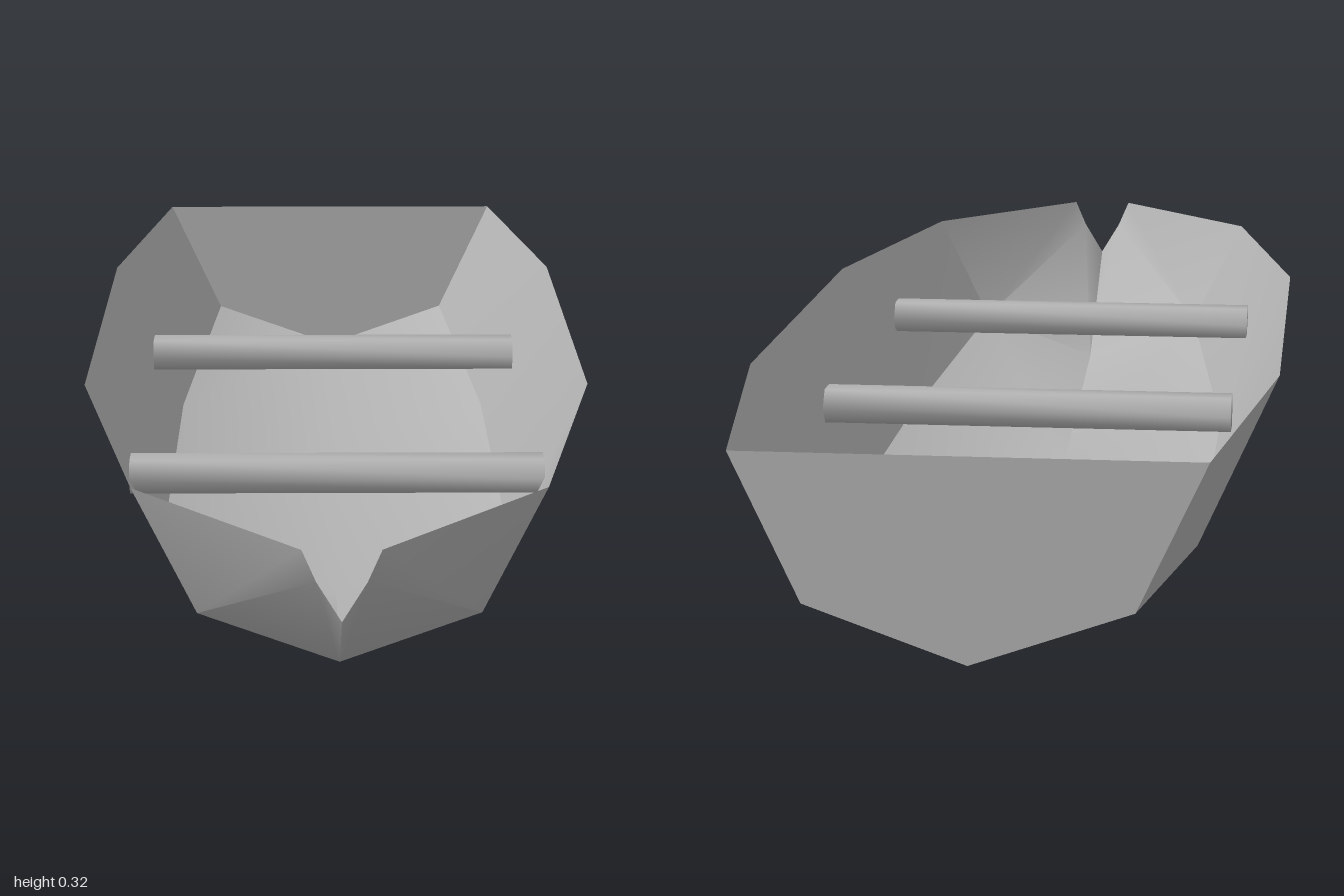
import * as THREE from 'three';
import { toCreasedNormals, mergeVertices } from 'three/addons/utils/BufferGeometryUtils.js';

// z, rim half-width, chine half-width, chine height, keel height
const STATIONS = [
  [-1, 0.30, 0.21, 0.13, 0.055],
  [-0.5, 0.373, 0.262, 0.077, 0],
  [0.25, 0.373, 0.262, 0.077, 0],
  [0.75, 0.275, 0.19, 0.15, 0.08],
  [1, 0.05, 0.032, 0.283, 0.23],
];
const RIM_Y = 0.325;

function hullGeometry() {
  const pos = [], idx = [];
  for (const [z, rim, chine, chineY, keelY] of STATIONS) {
    pos.push(rim, RIM_Y, z, chine, chineY, z, 0, keelY, z, -chine, chineY, z, -rim, RIM_Y, z);
  }
  // planking, with the quad diagonals mirrored about the keel
  for (let s = 0; s < STATIONS.length - 1; s++) {
    for (let i = 0; i < 4; i++) {
      const a = s * 5 + i, b = a + 1, c = a + 5, d = a + 6;
      if (i < 2) idx.push(a, c, b, b, c, d);
      else idx.push(a, d, b, a, c, d);
    }
  }
  // flat transom closing the stern; the bow stays open as a notch
  idx.push(0, 1, 2, 0, 2, 4, 2, 3, 4);
  const geo = new THREE.BufferGeometry();
  geo.setAttribute('position', new THREE.Float32BufferAttribute(pos, 3));
  geo.setIndex(idx);
  return toCreasedNormals(geo, THREE.MathUtils.degToRad(40));
}

function seatGeometry() {
  // six-sided bar across the boat, flat on top and bottom, softly shaded
  let geo = new THREE.CylinderGeometry(0.036, 0.036, 0.6, 6);
  geo.rotateZ(Math.PI / 2);
  geo.scale(1, 0.05 / (0.072 * Math.sin(Math.PI / 3)), 1);
  geo.deleteAttribute('normal');
  geo.deleteAttribute('uv');
  geo = mergeVertices(geo);
  geo.computeVertexNormals();
  return geo;
}

export function createModel() {
  const boat = new THREE.Group();
  boat.name = 'rowingBoat';
  const grey = new THREE.MeshStandardMaterial({ color: 0xb4b4b4, side: THREE.DoubleSide });
  grey.name = 'grey';

  const hull = new THREE.Mesh(hullGeometry(), grey);
  hull.name = 'hull';
  boat.add(hull);

  // two thwarts
  const seat = seatGeometry();
  [['rearSeat', -0.306], ['frontSeat', 0.369]].forEach(([name, z]) => {
    const mesh = new THREE.Mesh(seat, grey);
    mesh.name = name;
    mesh.position.set(0, 0.225, z);
    boat.add(mesh);
  });
  return boat;
}
